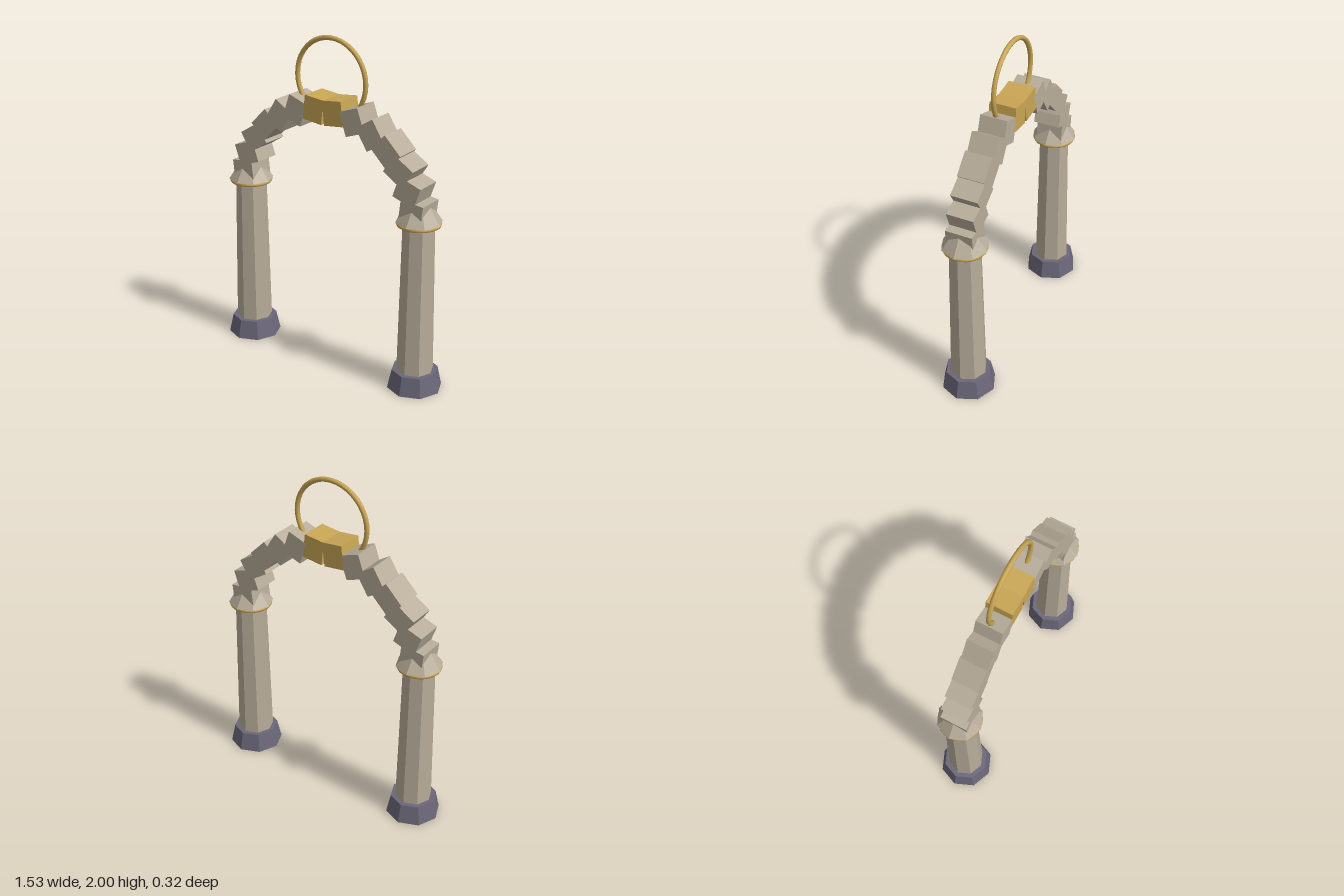
import * as THREE from 'three';

export function createModel() {
  const model = new THREE.Group();
  model.name = 'archway';

  const material = (name, color, flatShading = true) => {
    const m = new THREE.MeshStandardMaterial({ color, flatShading });
    m.name = name;
    return m;
  };
  const stone = material('stone', 0xb8ad9a);
  const gold = material('gold', 0xc9a654, false);
  const slate = material('slate', 0x6b677a);

  const add = (parent, name, geometry, mat, x = 0, y = 0, z = 0) => {
    const mesh = new THREE.Mesh(geometry, mat);
    mesh.name = name;
    mesh.position.set(x, y, z);
    parent.add(mesh);
    return mesh;
  };

  // Eight-sided tapered drum standing between two heights
  const drum = (parent, name, rTop, rBottom, y0, y1, mat) =>
    add(parent, name, new THREE.CylinderGeometry(rTop, rBottom, y1 - y0, 8), mat, 0, (y0 + y1) / 2, 0);

  // Two columns: base, shaft, gold collar, sloping capital
  const spanX = 0.603;
  for (const side of [-1, 1]) {
    const column = new THREE.Group();
    column.name = side > 0 ? 'leftColumn' : 'rightColumn';
    column.position.x = side * spanX;
    drum(column, 'base', 0.137, 0.162, 0, 0.115, slate);
    drum(column, 'shaft', 0.093, 0.109, 0.115, 1.036, stone);
    drum(column, 'capital', 0.05, 0.135, 1.036, 1.16, stone);
    const collar = add(column, 'collar', new THREE.TorusGeometry(0.115, 0.014, 8, 24), gold, 0, 1.028, 0);
    collar.rotation.x = Math.PI / 2;
    model.add(column);
  }

  // Arch blocks on a half ellipse, each tilted against the curve for a jagged edge
  const arch = new THREE.Group();
  arch.name = 'arch';
  const count = 14;
  const block = new THREE.BoxGeometry(0.13, 0.145, 0.162);
  for (let i = 0; i < count; i++) {
    const a = ((i + 0.5) / count) * Math.PI;
    const isKey = i === count / 2 - 1 || i === count / 2;
    const mesh = add(arch, isKey ? 'keystone' : 'archBlock', block, isKey ? gold : stone,
      0.6 * Math.cos(a), 1.042 + 0.541 * Math.sin(a), 0);
    mesh.rotation.z = Math.PI / 2 - a;
  }
  model.add(arch);

  // Upright ring through the crown
  add(model, 'crownRing', new THREE.TorusGeometry(0.236, 0.0145, 8, 40), gold, 0, 1.75, 0);

  return model;
}
